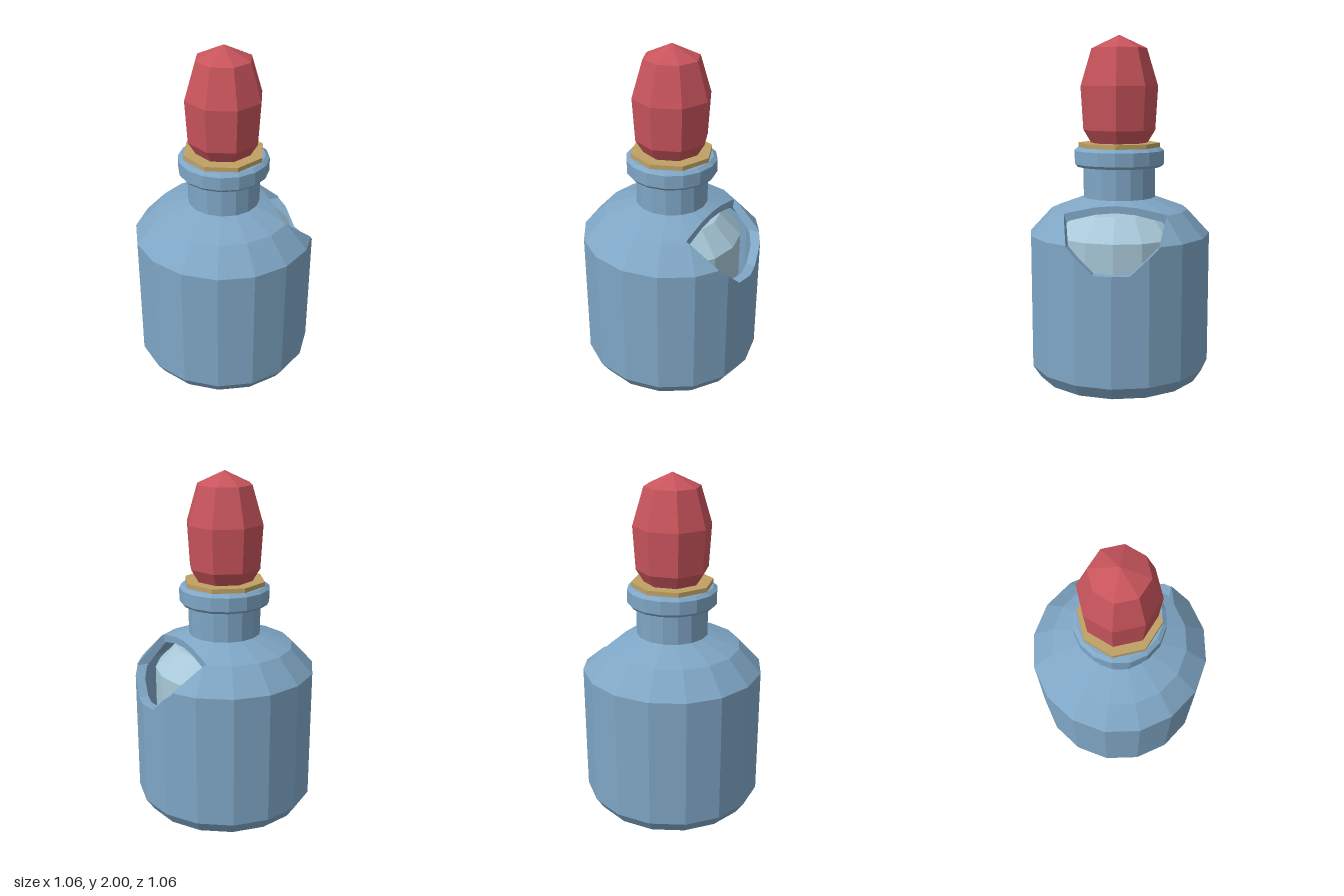
import * as THREE from 'three';

const V = (x, y, z) => new THREE.Vector3(x, y, z);
const paint = (name, color) => {
  const m = new THREE.MeshStandardMaterial({ color });
  m.name = name;
  return m;
};

// Faceted turned shape from [radius, height] points, listed bottom to top
function turned(profile, sides) {
  const g = new THREE.LatheGeometry(profile.map(([r, y]) => new THREE.Vector2(r, y)), sides).toNonIndexed();
  g.computeVertexNormals();
  return g;
}

// Triangles of a turned shape as small polygons
function facets(profile, sides) {
  const p = turned(profile, sides).attributes.position;
  const out = [];
  for (let i = 0; i < p.count; i += 3) {
    const t = [0, 1, 2].map((k) => new THREE.Vector3().fromBufferAttribute(p, i + k));
    if (new THREE.Triangle(...t).getArea() > 1e-6) out.push(t);
  }
  return out;
}

const planeOf = (poly) => new THREE.Plane().setFromCoplanarPoints(poly[0], poly[1], poly[2]);

// The part of a polygon on one side of a plane (side = 1 front, -1 back)
function clip(poly, plane, side) {
  const out = [];
  poly.forEach((a, i) => {
    const b = poly[(i + 1) % poly.length];
    const da = plane.distanceToPoint(a) * side;
    const db = plane.distanceToPoint(b) * side;
    if (da >= -1e-6) out.push(a);
    if ((da > 1e-6 && db < -1e-6) || (da < -1e-6 && db > 1e-6)) out.push(a.clone().lerp(b, da / (da - db)));
  });
  const deepest = Math.max(...poly.map((p) => plane.distanceToPoint(p) * side));
  return out.length > 2 && deepest > 1e-6 ? out : null;
}

// Split a polygon by a convex solid given by outward planes
function split(poly, planes) {
  let inside = poly;
  const outside = [];
  for (const plane of planes) {
    const piece = clip(inside, plane, 1);
    if (piece) outside.push(piece);
    inside = clip(inside, plane, -1);
    if (!inside) return { inside: null, outside: [poly] };
  }
  return { inside, outside };
}

// Flat-shaded geometry from convex polygons
function solid(polys) {
  const pts = [];
  for (const p of polys) {
    for (let i = 1; i < p.length - 1; i++) pts.push(p[0], p[i], p[i + 1]);
  }
  const g = new THREE.BufferGeometry().setFromPoints(pts);
  g.computeVertexNormals();
  return g;
}

export function createModel() {
  const glass = paint('blue glass', 0x7fa6c5);
  const liquidColor = paint('pale liquid', 0xa8c9d9);
  const gold = paint('gold', 0xbfa164);
  const red = paint('red stopper', 0xc8545c);

  const model = new THREE.Group();
  model.name = 'bottle';
  const add = (name, geometry, material) => {
    const mesh = new THREE.Mesh(geometry, material);
    mesh.name = name;
    model.add(mesh);
  };

  // Wall and shoulder of the glass, outside and inside
  const outer = [[0.53, 0.085], [0.53, 0.86], [0.4, 1.0], [0.21, 1.07]];
  const inner = [[0.475, 0.12], [0.475, 0.84], [0.37, 0.965], [0.17, 1.05]];
  const outerPlanes = facets(outer, 16).map(planeOf);
  const innerPlanes = facets(inner, 16).map(planeOf);

  // Walls of the opening in the left shoulder, facing into the opening
  const x0 = 0.265, x1 = 0.8;
  const outline = [[0.33, 1.17], [0.25, 0.85], [0.1, 0.71], [-0.1, 0.71], [-0.25, 0.85], [-0.33, 1.17]];
  const walls = [outline.map(([z, y]) => V(x0, y, z))];
  for (let i = 0; i < outline.length - 1; i++) {
    const [pz, py] = outline[i], [qz, qy] = outline[i + 1];
    walls.push([V(x0, py, pz), V(x1, py, pz), V(x1, qy, qz), V(x0, qy, qz)]);
  }
  const opening = walls.map((w) => planeOf(w).negate());
  const cut = (polys) => polys.flatMap((p) => split(p, opening).outside);

  // Glass body with neck and lip
  const body = [
    [0, 0], [0.48, 0.01], ...outer, [0.21, 1.25], [0.25, 1.25], [0.262, 1.265],
    [0.262, 1.342], [0.24, 1.36], [0, 1.36],
  ];
  add('glassBody', solid(cut(facets(body, 16))), glass);

  // Inside of the glass, facing the hollow
  const hollow = [[0, 0.06], [0.44, 0.06], ...inner, [0, 1.05]];
  add('glassInside', solid(cut(facets(hollow, 16)).map((p) => [...p].reverse())), glass);

  // Thickness of the glass around the opening
  const rim = walls
    .map((w) => split(w, outerPlanes).inside)
    .filter(Boolean)
    .flatMap((w) => split(w, innerPlanes).outside);
  add('openingRim', solid(rim), glass);

  // Liquid
  add('liquid', turned([[0, 0.07], [0.38, 0.07], [0.41, 0.13], [0.41, 0.86], [0.285, 0.99], [0, 0.99]], 16), liquidColor);

  // Collar and stopper
  add('collar', turned([[0, 1.355], [0.238, 1.355], [0.238, 1.386], [0, 1.386]], 8), gold);
  add('stopper', turned([[0, 1.38], [0.165, 1.385], [0.21, 1.46], [0.225, 1.71], [0.16, 1.925], [0, 2]], 8), red);

  return model;
}
